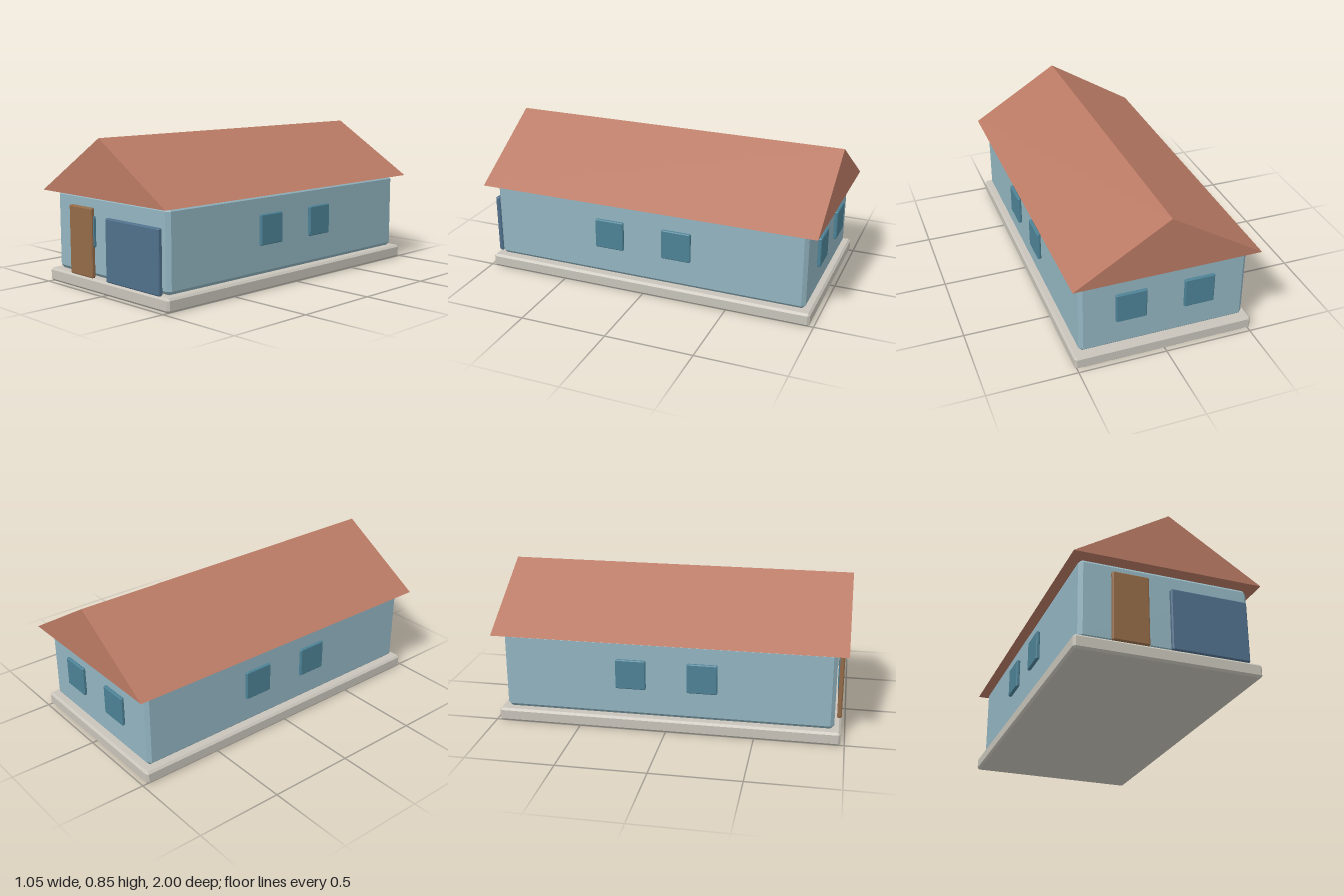
import * as THREE from 'three';
import { ConvexGeometry } from 'three/addons/geometries/ConvexGeometry.js';

const paint = (color) => new THREE.MeshStandardMaterial({ color, flatShading: true });

// Box with every edge chamfered: the hull of its six inset faces
function chamferBox(w, h, d, c) {
  const half = [w / 2, h / 2, d / 2];
  const points = [];
  for (let axis = 0; axis < 3; axis++)
    for (const sx of [-1, 1]) for (const sy of [-1, 1]) for (const sz of [-1, 1]) {
      const p = [sx, sy, sz].map((s, i) => s * (i === axis ? half[i] : half[i] - c));
      points.push(new THREE.Vector3(...p));
    }
  return new ConvexGeometry(points);
}

export function createModel() {
  const house = new THREE.Group();
  house.name = 'house';

  const add = (name, geometry, material, x, y, z, turn = 0) => {
    const mesh = new THREE.Mesh(geometry, material);
    mesh.name = name;
    mesh.position.set(x, y, z);
    mesh.rotation.y = turn;
    house.add(mesh);
    return mesh;
  };

  // Foundation slab and walls
  add('foundation', chamferBox(1.026, 0.076, 1.956, 0.012), paint(0xc8c4ba), 0, 0.038, 0);
  add('walls', chamferBox(0.95, 0.45, 1.88, 0.021), paint(0x93b5c1), 0, 0.301, 0);

  // Gable roof: a closed triangular prism
  const gable = new THREE.Shape([
    new THREE.Vector2(-0.525, 0),
    new THREE.Vector2(0.525, 0),
    new THREE.Vector2(0, 0.322),
  ]);
  const roof = new THREE.ExtrudeGeometry(gable, { depth: 2, bevelEnabled: false });
  add('roof', roof, paint(0xba7a64), 0, 0.525, -1);

  // Front door and garage door
  add('frontDoor', chamferBox(0.2, 0.386, 0.026, 0.006), paint(0x946b48), -0.211, 0.269, 0.966);
  add('garageDoor', chamferBox(0.435, 0.347, 0.028, 0.006), paint(0x50708b), 0.2275, 0.2495, 0.965);

  // Windows: two on each side, two at the back, one beside the front door
  const pane = chamferBox(0.172, 0.172, 0.021, 0.005);
  const glass = paint(0x4d8296);
  const y = 0.332;
  for (const s of [-1, 1]) {
    add('backWindow', pane, glass, s * 0.193, y, -0.957);
    for (const z of [-0.2, 0.205]) add('sideWindow', pane, glass, s * 0.49, y, z, Math.PI / 2);
  }
  add('frontWindow', pane, glass, -0.193, y, 0.957);

  return house;
}
